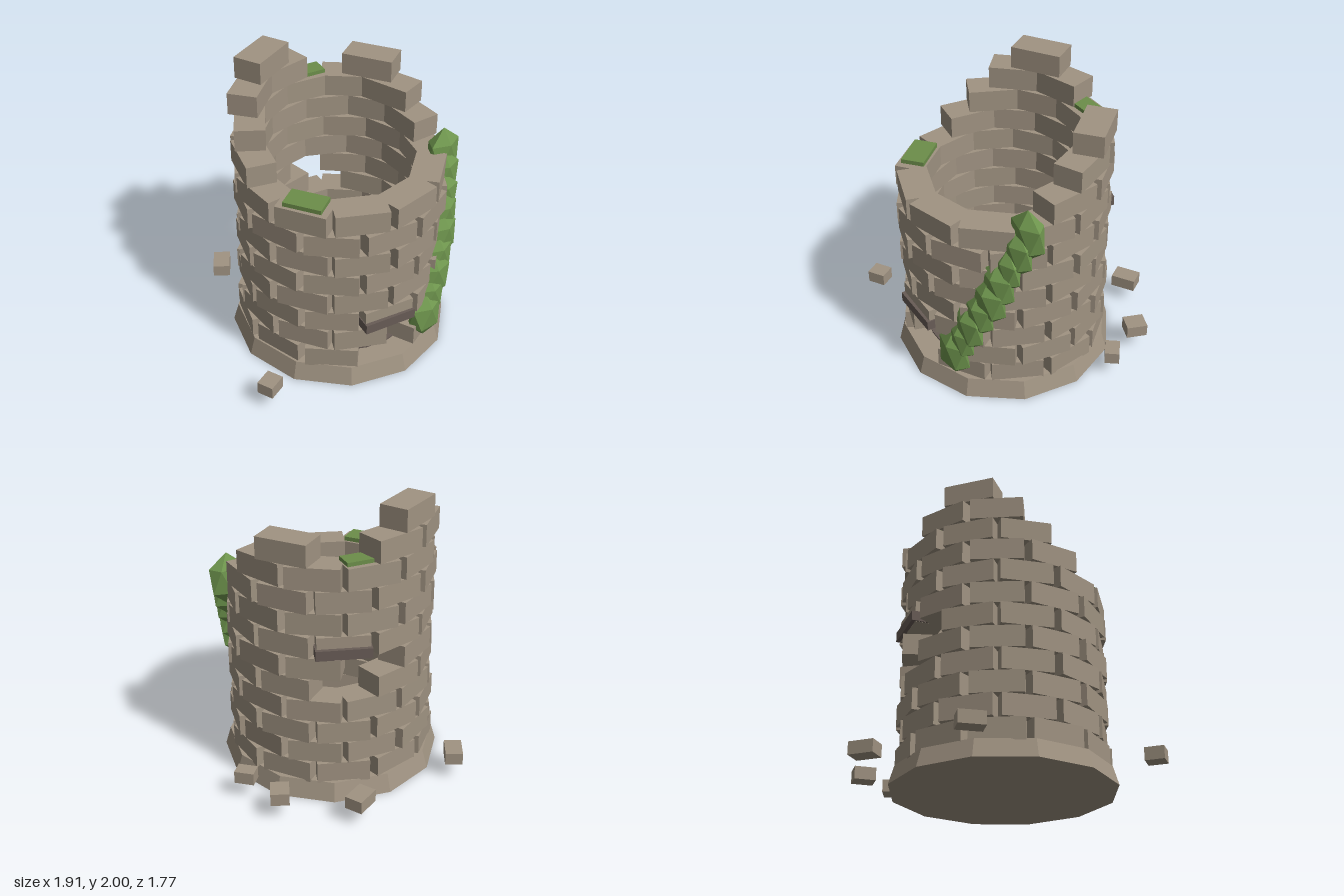
import * as THREE from 'three';

const CX = 0.03, CZ = 0.115;          // tower axis
const ROWS = 12, PER_ROW = 11;
const STEP = (Math.PI * 2) / PER_ROW;
const ROW_H = 0.157, Y0 = 0.116;

function seeded(seed) {
  let s = seed;
  return () => {
    s = (s * 16807) % 2147483647;
    return s / 2147483647 - 0.5;
  };
}

export function createModel() {
  const mat = (name, color) => {
    const m = new THREE.MeshStandardMaterial({ color, flatShading: true });
    m.name = name;
    return m;
  };
  const stone = mat('stone', 0xa09382);
  const darkStone = mat('darkStone', 0x685c56);
  const leaf = mat('leaf', 0x6f964e);
  const mossGreen = mat('moss', 0x6c8e4a);

  const model = new THREE.Group();
  model.name = 'ruinedTower';
  const rnd = seeded(417);

  const add = (parent, name, geo, material, x, y, z, ry = 0) => {
    const m = new THREE.Mesh(geo, material);
    m.name = name;
    m.position.set(x, y, z);
    m.rotation.y = ry;
    parent.add(m);
    return m;
  };
  // Place a box on the wall ring: local x is tangential, local z is radial
  const onRing = (parent, name, size, material, angle, radius, y, twist = 0) =>
    add(parent, name, new THREE.BoxGeometry(...size), material,
      CX + Math.cos(angle) * radius, y, CZ + Math.sin(angle) * radius,
      Math.PI / 2 - angle + twist);

  // Tapered twelve-sided footing and the floor inside
  add(model, 'footing', new THREE.CylinderGeometry(0.73, 0.768, 0.13, 12), stone, CX, 0.065, CZ);
  add(model, 'floor', new THREE.CylinderGeometry(0.56, 0.56, 0.012, 22), darkStone, CX, 0.135, CZ);

  // Which bricks survive: openings low down, broken steps at the top
  const openings = { 0: [3], 1: [2], 4: [9], 5: [8] };
  const remains = {
    8: [6, 7, 8, 9, 10, 0],
    9: [6, 7, 8, 9, 10],
    10: [7, 8, 10],
    11: [7],
  };
  const wall = new THREE.Group();
  wall.name = 'wall';
  model.add(wall);
  for (let r = 0; r < ROWS; r++) {
    for (let k = 0; k < PER_ROW; k++) {
      if (openings[r]?.includes(k)) continue;
      if (remains[r] && !remains[r].includes(k)) continue;
      const angle = (k + (r % 2) * 0.5) * STEP;
      onRing(wall, 'brick', [0.352 + rnd() * 0.012, 0.151, 0.2], stone,
        angle, 0.593 + rnd() * 0.018, Y0 + (r + 0.5) * ROW_H, rnd() * 0.05);
    }
  }

  // Dark lintels over the two openings
  onRing(model, 'doorLintel', [0.37, 0.07, 0.22], darkStone, 3 * STEP, 0.61, 0.465);
  onRing(model, 'windowLintel', [0.37, 0.07, 0.22], darkStone, 9 * STEP, 0.61, 1.097);

  // Moss pads on broken ledges
  onRing(model, 'mossPad', [0.26, 0.03, 0.16], mossGreen, 4.5 * STEP, 0.595, 1.385);
  onRing(model, 'mossPad', [0.34, 0.03, 0.125], mossGreen, 8.5 * STEP, 0.6, 1.695);

  // Climbing ivy: pointed clumps following a rising spiral
  const ivy = new THREE.Group();
  ivy.name = 'ivy';
  model.add(ivy);
  const clump = new THREE.IcosahedronGeometry(1, 0);
  clump.rotateX(-Math.atan((1 + Math.sqrt(5)) / 2));
  const CLUMPS = 9;
  for (let i = 0; i < CLUMPS; i++) {
    const t = i / (CLUMPS - 1);
    const a = THREE.MathUtils.degToRad(69 - 41 * t);
    const end = i === 0 || i === CLUMPS - 1;
    const s = end ? 1 : 0.9 + rnd() * 0.16;
    const c = add(ivy, 'ivyClump', clump, leaf,
      CX + Math.cos(a) * 0.695 + (end ? 0 : rnd() * 0.03),
      0.31 + t * 1.02,
      CZ + Math.sin(a) * 0.695, 0);
    c.scale.set(0.145 * s, 0.19 * s, 0.085 * s);
    c.rotation.y = rnd() * 0.3;
  }

  // Fallen stones around the footing: x, z, width, depth, turn
  const rubble = new THREE.Group();
  rubble.name = 'rubble';
  model.add(rubble);
  [
    [-0.475, -0.685, 0.12, 0.175, -0.58],
    [0.365, -0.79, 0.175, 0.125, 0.42],
    [0.78, -0.46, 0.125, 0.145, -0.5],
    [0.865, -0.15, 0.135, 0.1, -0.8],
    [-0.878, 0.58, 0.13, 0.115, 0.42],
  ].forEach(([x, z, w, d, turn]) =>
    add(rubble, 'fallenStone', new THREE.BoxGeometry(w, 0.088, d), stone, x, 0.16, z, turn));

  return model;
}
